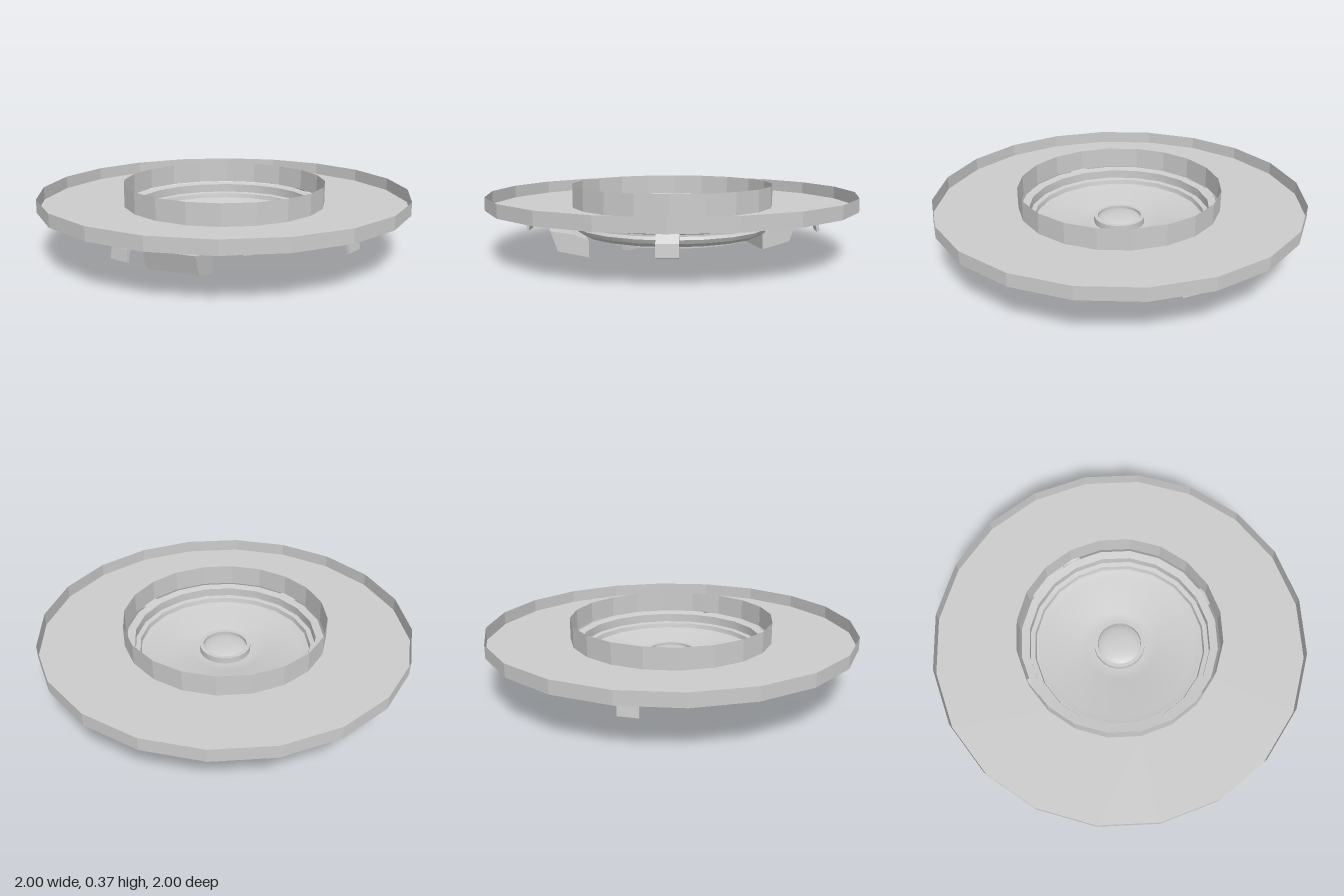
import * as THREE from 'three';
import { toCreasedNormals } from 'three/addons/utils/BufferGeometryUtils.js';

const SIDES = 20;
const flat = new THREE.MeshStandardMaterial({ color: 0xcccccc, flatShading: true, side: THREE.DoubleSide });
const smooth = new THREE.MeshStandardMaterial({ color: 0xcccccc, side: THREE.DoubleSide });

// Turned part from [radius, height] points running counter-clockwise
function turned(name, points, creased) {
  let geo = new THREE.LatheGeometry(points.map(([r, y]) => new THREE.Vector2(r, y)), SIDES);
  if (creased) geo = toCreasedNormals(geo, 0.5);
  const mesh = new THREE.Mesh(geo, creased ? smooth : flat);
  mesh.name = name;
  return mesh;
}

// Side profile in [radius, height], given a width and turned about the y axis
function radial(name, points, width, angle) {
  const shape = new THREE.Shape(points.map(([r, y]) => new THREE.Vector2(r, y)));
  const geo = new THREE.ExtrudeGeometry(shape, { depth: width, bevelEnabled: false });
  geo.translate(0, 0, -width / 2);
  const mesh = new THREE.Mesh(geo, flat);
  mesh.name = name;
  mesh.rotation.y = angle;
  return mesh;
}

export function createModel() {
  const model = new THREE.Group();
  model.name = 'recessedFixture';

  // Tray-like panel: thin floor, upright outer rim and a collar round the opening
  model.add(turned('panel', [[0.55, 0.365], [0.55, 0.25], [1, 0.25], [1, 0.32]]));

  // Stepped dish: recessed underside, grooved outer wall, flared lip, inner wall, floor and well
  model.add(turned('dish', [
    [0.12, 0.135], [0.3, 0.135], [0.3, 0.115], [0.42, 0.115], [0.42, 0.085],
    [0.45, 0.085], [0.45, 0.1], [0.49, 0.1], [0.52, 0.12], [0.53, 0.14], [0.52, 0.155], [0.52, 0.165],
    [0.53, 0.17], [0.53, 0.19], [0.5, 0.2], [0.5, 0.238], [0.537, 0.246],
    [0.537, 0.25], [0.495, 0.242], [0.495, 0.195], [0.47, 0.19], [0.465, 0.165], [0.45, 0.163], [0.42, 0.15],
    [0.22, 0.15], [0.2, 0.14], [0.14, 0.14], [0.14, 0.175], [0.12, 0.175], [0.12, 0.135],
  ], true));

  // Domed lens in the centre
  const lens = [];
  for (let i = 0; i <= 8; i++) {
    const a = -Math.PI / 2 + (i / 8) * Math.PI / 2;
    lens.push([0.121 * Math.cos(a), 0.14 + 0.085 * Math.sin(a)]);
  }
  for (let i = 0; i <= 6; i++) {
    const a = (i / 6) * Math.PI / 2;
    lens.push([0.121 * Math.cos(a), 0.155 + 0.03 * Math.sin(a)]);
  }
  model.add(turned('lens', lens, true));

  // Three spokes under the dish
  for (let i = 0; i < 3; i++) {
    const angle = -THREE.MathUtils.degToRad(5 + i * 120);
    model.add(radial('spoke', [[0.08, 0.055], [0.4, 0.055], [0.4, 0.115], [0.08, 0.115]], 0.05, angle));
  }

  // Four bent spring clips
  const lower = [[0.49, 0.208], [0.56, 0.186], [0.64, 0.21], [0.7, 0.217], [0.75, 0.2], [0.777, 0.168], [0.79, 0.106]];
  const upper = [[0.804, 0.112], [0.797, 0.173], [0.77, 0.212], [0.7, 0.235], [0.64, 0.229], [0.56, 0.205], [0.49, 0.227]];
  for (let i = 0; i < 4; i++) {
    model.add(radial('springClip', [...lower, ...upper], 0.105, i * Math.PI / 2));
  }

  // Two wedge-shaped latches on opposite sides
  for (let i = 0; i < 2; i++) {
    const profile = [[0.48, 0], [0.64, 0.04], [0.675, 0.145], [0.56, 0.125], [0.48, 0.09]];
    model.add(radial('latch', profile, 0.28, THREE.MathUtils.degToRad(15) + i * Math.PI));
  }
  return model;
}
